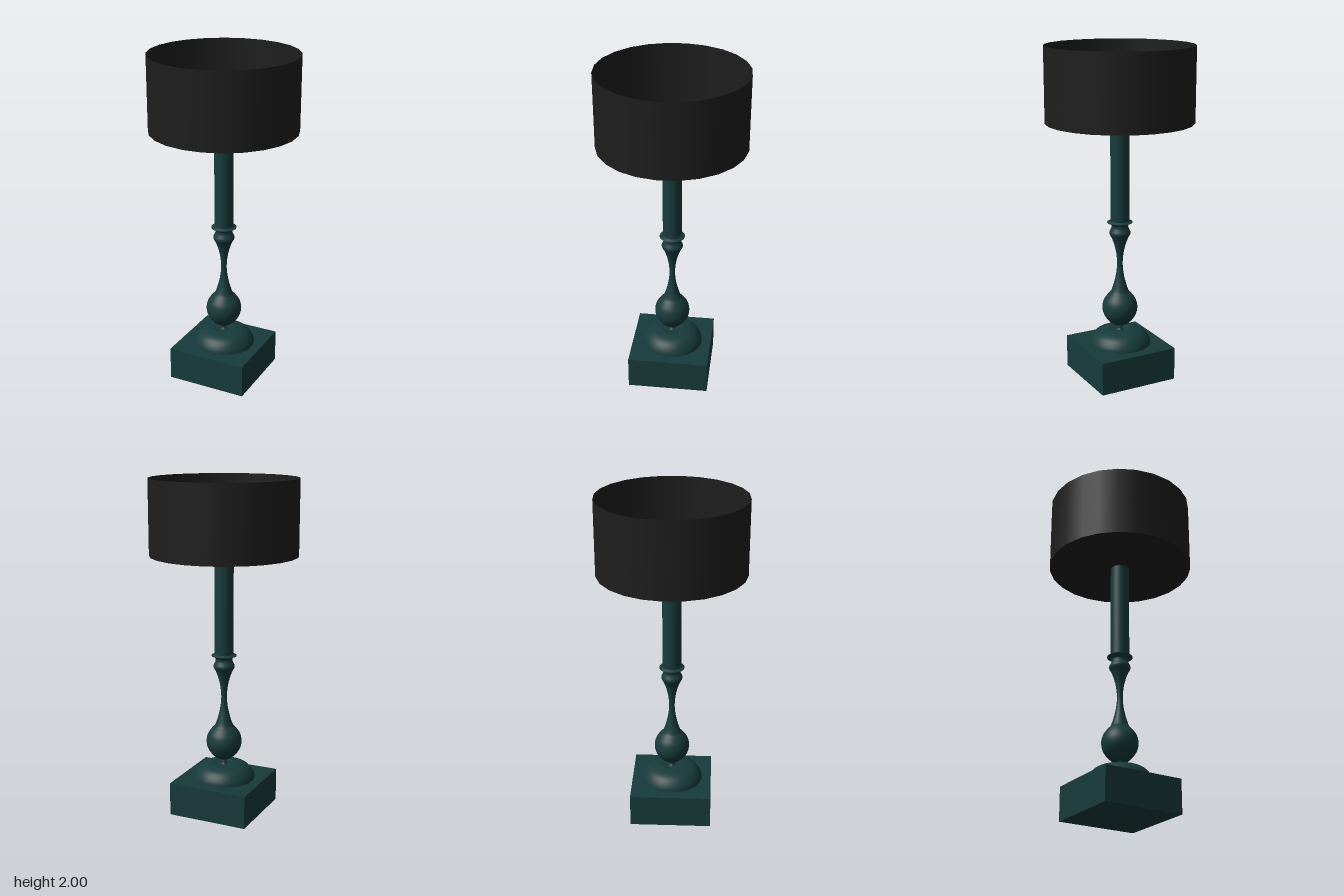
import * as THREE from 'three';

const teal = new THREE.MeshStandardMaterial({ color: 0x183b3b, side: THREE.DoubleSide });
const black = new THREE.MeshStandardMaterial({ color: 0x1e1e1e, side: THREE.DoubleSide });

function add(group, name, geometry, material, y = 0) {
  const mesh = new THREE.Mesh(geometry, material);
  mesh.name = name;
  mesh.position.y = y;
  group.add(mesh);
}

// Turned part from [radius, height] points, optionally smoothed by a spline
function turned(points, smooth = 0) {
  let profile = points.map(([r, y]) => new THREE.Vector2(r, y));
  if (smooth) profile = new THREE.SplineCurve(profile).getPoints(smooth);
  profile.forEach((p) => { p.x = Math.max(p.x, 0); });
  return new THREE.LatheGeometry(profile, 48);
}

export function createModel() {
  const lamp = new THREE.Group();
  lamp.name = 'tableLamp';

  // Square plinth with a flattened dome
  add(lamp, 'plinth', new THREE.BoxGeometry(0.488, 0.2, 0.488), teal, 0.1);
  add(lamp, 'dome', turned([
    [0.187, 0.2], [0.182, 0.222], [0.167, 0.248], [0.145, 0.27],
    [0.115, 0.284], [0.08, 0.29], [0.06, 0.29],
  ], 32), teal);
  add(lamp, 'domeTop', turned([[0.06, 0.29], [0.05, 0.284], [0.02, 0.284]]), teal);

  // Thin neck joining dome and bulb
  add(lamp, 'neck', turned([
    [0.022, 0.284], [0.012, 0.292], [0.011, 0.299], [0.016, 0.304], [0.007, 0.312], [0.007, 0.325],
  ]), teal);

  // Bulb flowing into a slender waist, then flaring to the knop
  add(lamp, 'baluster', turned([
    [0, 0.313], [0.035, 0.319], [0.07, 0.346], [0.097, 0.386], [0.106, 0.43],
    [0.097, 0.474], [0.073, 0.51], [0.055, 0.53], [0.04, 0.57], [0.024, 0.635],
    [0.017, 0.7], [0.021, 0.765], [0.034, 0.825], [0.05, 0.868], [0.061, 0.888],
    [0.063, 0.902], [0.056, 0.918], [0.05, 0.932], [0.05, 0.952],
  ], 100), teal);

  // Sharp-edged collar
  add(lamp, 'collar', turned([
    [0.05, 0.945], [0.055, 0.954], [0.075, 0.962], [0.075, 0.965], [0.055, 0.973], [0.05, 0.98],
  ]), teal);

  // Straight column, just piercing the shade floor
  add(lamp, 'column', new THREE.CylinderGeometry(0.056, 0.056, 0.625, 48), teal, 0.96 + 0.3125);

  // Open-topped 24-sided drum shade with a closed floor
  const turn = THREE.MathUtils.degToRad(11);
  add(lamp, 'shadeWall',
    new THREE.CylinderGeometry(0.433, 0.433, 0.44, 24, 1, true, turn), black, 1.78);
  const floor = new THREE.CircleGeometry(0.433, 24, turn - Math.PI / 2);
  floor.rotateX(-Math.PI / 2);
  add(lamp, 'shadeFloor', floor, black, 1.56);

  return lamp;
}
